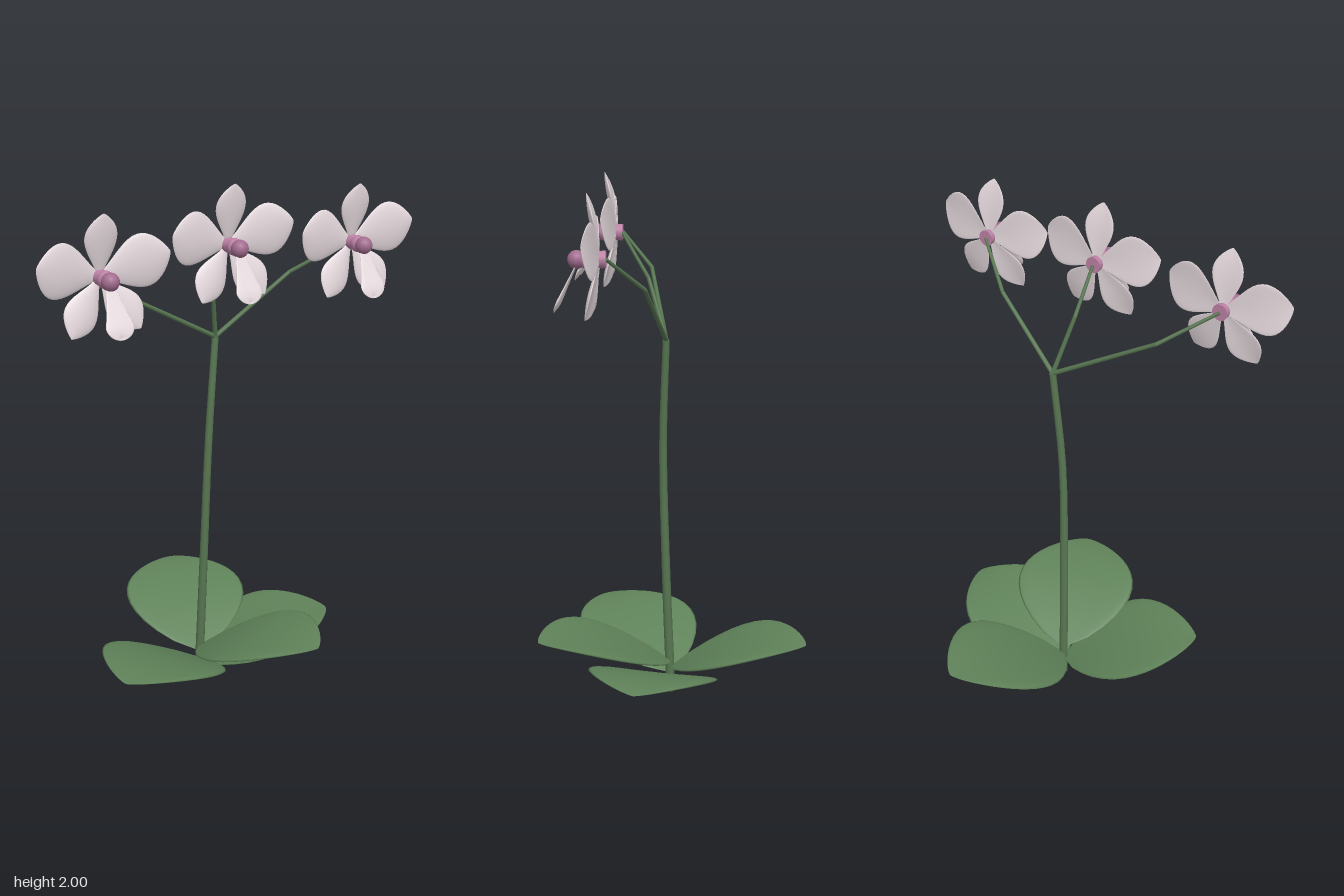
import * as THREE from 'three';

const paint = (name, color) => {
  const m = new THREE.MeshStandardMaterial({ color });
  m.name = name;
  return m;
};

// Lens-shaped blade: grows along +x, spreads in y, faces +z; elliptical cross-sections.
function blade(length, halfWidth, { width, rise, cup, thick, notch = 0 }) {
  const nu = 18, nv = 24, pos = [], idx = [];
  for (let i = 0; i <= nu; i++) {
    const t = Math.sin((i / nu) * Math.PI / 2), w = width(t);
    for (let j = 0; j < nv; j++) {
      const a = (j / nv) * Math.PI * 2, s = Math.cos(a);
      const x = length * t - notch * t ** 4 * (1 - Math.abs(s));
      pos.push(x, halfWidth * w * s, rise(t) + cup * w * s * s + thick * w * Math.sin(a));
    }
  }
  for (let i = 0; i < nu; i++) for (let j = 0; j < nv; j++) {
    const k = (j + 1) % nv, a = i * nv + j, b = a + nv, c = i * nv + k, d = c + nv;
    idx.push(a, c, b, b, c, d);
  }
  const g = new THREE.BufferGeometry();
  g.setAttribute('position', new THREE.Float32BufferAttribute(pos, 3));
  g.setIndex(idx);
  g.computeVertexNormals();
  return g;
}

// Tapered stalk of straight segments through points.
function stalk(pts, r0, r1, material, name) {
  const group = new THREE.Group(), n = pts.length - 1;
  group.name = name;
  for (let i = 1; i <= n; i++) {
    const a = pts[i - 1], b = pts[i];
    const ra = r0 + (r1 - r0) * (i - 1) / n, rb = r0 + (r1 - r0) * i / n;
    const m = new THREE.Mesh(new THREE.CylinderGeometry(rb, ra, a.distanceTo(b), 10), material);
    m.position.copy(a).lerp(b, 0.5);
    m.quaternion.setFromUnitVectors(new THREE.Vector3(0, 1, 0), b.clone().sub(a).normalize());
    m.name = name + 'Segment';
    group.add(m);
  }
  return group;
}

export function createModel() {
  const leafGreen = paint('leafGreen', 0x5f8259);
  const stemGreen = paint('stemGreen', 0x577651);
  const petalWhite = paint('petalWhite', 0xe8dce0);
  const hubPink = paint('hubPink', 0xbd82a6);
  const ballPink = paint('ballPink', 0xa26c8f);
  const V = (x, y, z) => new THREE.Vector3(x, y, z);
  const model = new THREE.Group();
  model.name = 'orchidPlant';

  const add = (parent, geometry, material, name) => {
    const m = new THREE.Mesh(geometry, material);
    m.name = name;
    parent.add(m);
    return m;
  };
  const arch = t => Math.max(0, Math.sin(Math.PI * t));

  // Broad, gently cupped leaves around the foot of the stem: [direction in degrees, base height]
  const leafGeometry = blade(0.54, 0.243, {
    width: t => arch(t) ** 0.72,
    rise: t => 0.16 * Math.sin(t * Math.PI / 2),
    cup: 0.018, thick: 0.02,
  }).rotateX(-Math.PI / 2);
  for (const [angle, y] of [[13, 0.05], [150, 0.072], [-71.5, 0.1], [65, 0.125]]) {
    const leaf = add(model, leafGeometry, leafGreen, 'leaf');
    leaf.position.y = y;
    leaf.rotation.y = -angle * Math.PI / 180;
  }

  // Main stem
  const fork = V(0.06, 1.4, 0.015);
  const stemCurve = new THREE.CatmullRomCurve3([V(0, 0, 0), V(0.01, 0.5, 0.018), V(0.025, 1, 0.028), fork]);
  model.add(stalk(stemCurve.getPoints(12), 0.018, 0.013, stemGreen, 'stem'));

  // Petals: narrow at the base, full and rounded towards the tip
  const petal = (length, halfWidth, skew, power) => blade(length, halfWidth, {
    width: t => 0.1 * (1 - t) + 0.97 * arch(t ** skew) ** power,
    rise: t => 0.02 + 0.042 * t, cup: -0.01, thick: 0.008,
  });
  const topPetal = petal(0.215, 0.059, 1.5, 0.8);
  const sidePetal = petal(0.25, 0.092, 1.55, 0.75);
  const lowerPetal = petal(0.222, 0.064, 1.6, 0.85);
  const petals = [
    [topPetal, 90, 'topPetal'],
    [sidePetal, 15, 'sidePetal'], [sidePetal, 165, 'sidePetal'],
    [lowerPetal, -55, 'lowerPetal'], [lowerPetal, 235, 'lowerPetal'],
  ];
  // Notched lip hanging forward and down
  const lipGeometry = blade(0.178, 0.051, {
    width: t => t < 0.75 ? 0.35 + 0.65 * (t / 0.75) ** 1.3 : Math.sqrt(Math.max(0, 1 - ((t - 0.75) / 0.25) ** 2)),
    rise: () => 0, cup: 0.004, thick: 0.008, notch: 0.012,
  }).rotateZ(-Math.PI / 2).rotateX(-0.45);
  const hubGeometry = new THREE.CylinderGeometry(0.024, 0.03, 0.06, 16).rotateX(Math.PI / 2);
  const throatGeometry = new THREE.SphereGeometry(0.03, 16, 12);
  const heartGeometry = new THREE.SphereGeometry(0.031, 16, 12);

  // Three flowers, each on a bent side stalk: [flower centre, stalk bend]
  const flowers = [
    [V(-0.505, 1.742, 0.2), V(-0.335, 1.62, 0.08)],
    [V(0, 1.785, 0.175), V(0.008, 1.62, 0.08)],
    [V(0.505, 1.742, 0.2), V(0.335, 1.62, 0.08)],
  ];
  for (const [centre, bend] of flowers) {
    model.add(stalk([fork, bend, centre], 0.009, 0.006, stemGreen, 'flowerStalk'));
    const flower = new THREE.Group();
    flower.name = 'flower';
    flower.position.copy(centre);
    for (const [geometry, angle, name] of petals)
      add(flower, geometry, petalWhite, name).rotation.z = angle * Math.PI / 180;
    add(flower, hubGeometry, hubPink, 'flowerHub').position.z = 0.03;
    add(flower, throatGeometry, hubPink, 'throat').position.z = 0.064;
    add(flower, heartGeometry, ballPink, 'flowerHeart').position.z = 0.096;
    add(flower, lipGeometry, petalWhite, 'lip').position.set(0, -0.015, 0.096);
    model.add(flower);
  }
  return model;
}
